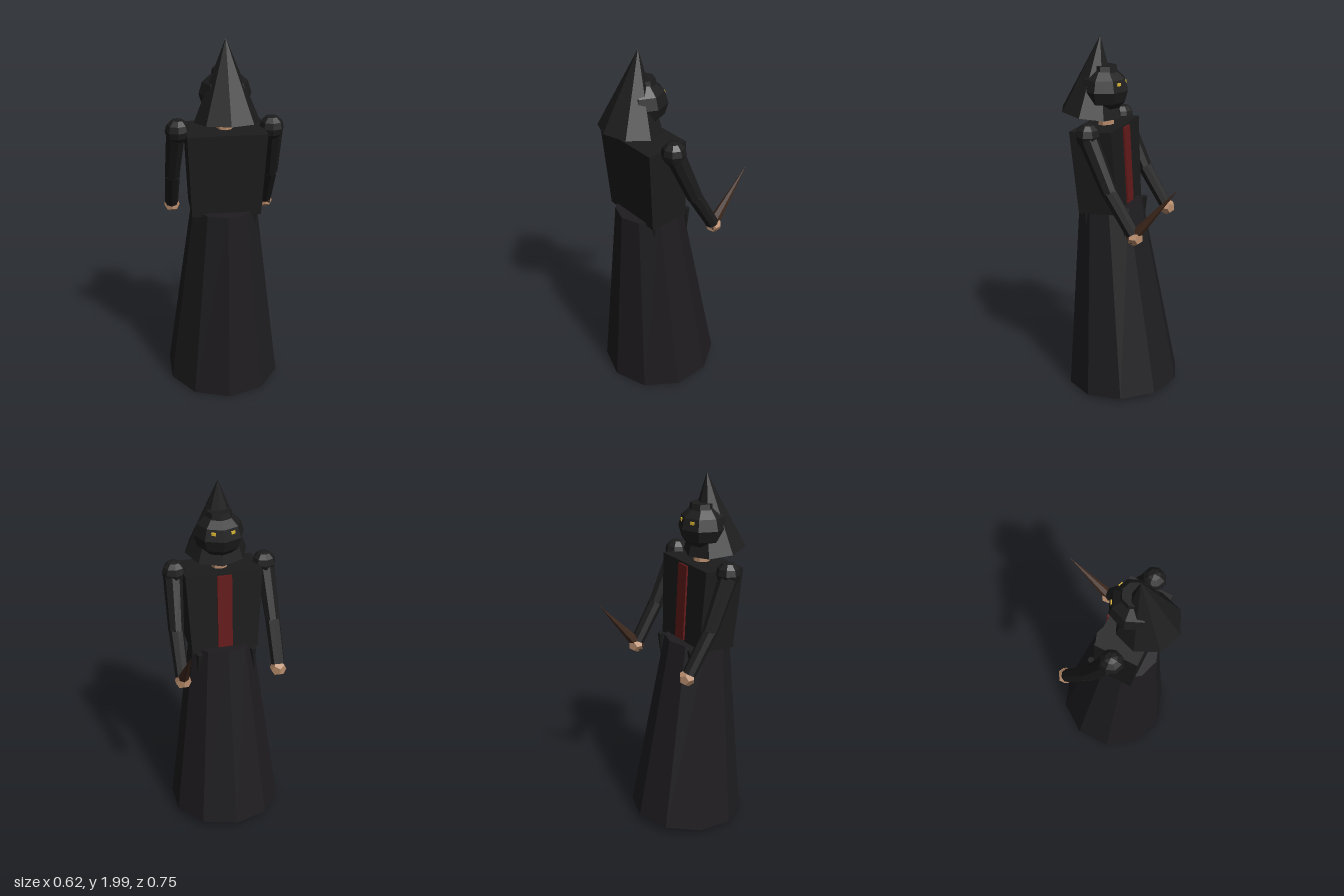
import * as THREE from 'three';

export function createModel() {
  const model = new THREE.Group();
  model.name = 'robedFigure';
  const mat = (color) => new THREE.MeshStandardMaterial({ color, flatShading: true });
  const robe = mat(0x1e1c1f), cloth = mat(0x1c1c1c), skin = mat(0xb88c6c);
  const wood = mat(0x40291d), red = mat(0x641a1a), gold = mat(0xd8b433);

  const add = (name, geometry, material, x = 0, y = 0, z = 0) => {
    const mesh = new THREE.Mesh(geometry, material);
    mesh.name = name;
    mesh.position.set(x, y, z);
    model.add(mesh);
    return mesh;
  };

  // Tapered limb running from point a to point b
  const limb = (name, a, b, ra, rb, sides, material) => {
    const from = new THREE.Vector3(...a), to = new THREE.Vector3(...b);
    const dir = to.clone().sub(from);
    const mesh = add(name, new THREE.CylinderGeometry(rb, ra, dir.length(), sides), material);
    mesh.position.copy(from).add(to).multiplyScalar(0.5);
    mesh.quaternion.setFromUnitVectors(new THREE.Vector3(0, 1, 0), dir.normalize());
    return mesh;
  };

  // Leaning ten-sided skirt
  limb('skirt', [0, 0.03, 0.022], [0, 1.09, 0.095], 0.32, 0.18, 10, robe);

  // Torso: a box narrowed and shifted forward toward the waist
  const torso = new THREE.BoxGeometry(1, 1, 1);
  const p = torso.attributes.position;
  for (let i = 0; i < p.count; i++) {
    const top = p.getY(i) > 0, front = p.getZ(i) < 0;
    const x = Math.sign(p.getX(i)) * (top ? 0.208 : 0.184);
    if (top) p.setXYZ(i, x, front ? 1.535 : 1.52, front ? 0.01 : 0.246);
    else p.setXYZ(i, x, front ? 1.08 : 1.065, front ? -0.015 : 0.208);
  }
  torso.computeVertexNormals();
  add('torso', torso, cloth);

  // Red panel down the chest
  const panel = add('chestPanel', new THREE.BoxGeometry(0.08, 0.42, 0.02), red, 0, 1.315, -0.003);
  panel.rotation.x = 0.055;

  // Neck and masked head
  add('neck', new THREE.CylinderGeometry(0.042, 0.045, 0.12, 8), skin, 0, 1.56, 0.12);
  const head = add('head', new THREE.SphereGeometry(0.136, 8, 6), cloth, 0, 1.715, 0.131);
  head.scale.y = 0.9;
  add('crownRing', new THREE.CylinderGeometry(0.065, 0.075, 0.045, 8), cloth, 0, 1.822, 0.125);

  // Pointed hat tilted over the back of the head
  limb('hat', [0, 1.585, 0.205], [0, 2, 0.15], 0.17, 0, 8, cloth);

  for (const s of [-1, 1]) {
    const eye = add('eye', new THREE.BoxGeometry(0.024, 0.016, 0.014), gold, s * 0.05, 1.755, 0.03);
    eye.rotation.y = s * -0.4;

    // Shoulder, sleeve and hand
    const elbow = [s * 0.268, 1.23, -0.005];
    add('shoulder', new THREE.SphereGeometry(0.066, 8, 6), cloth, s * 0.246, 1.52, 0.122);
    limb('upperArm', [s * 0.255, 1.5, 0.115], elbow, 0.052, 0.042, 8, cloth);
    add('elbow', new THREE.SphereGeometry(0.041, 8, 6), cloth, ...elbow);
    limb('forearm', elbow, [s * 0.267, 1.02, -0.133], 0.041, 0.037, 8, cloth);
    add('hand', new THREE.DodecahedronGeometry(0.045), skin, s * 0.265, 1.002, -0.145);

    // Hanging points of cloth at the waist
    for (const z of [0.175, -0.045]) {
      limb('waistTail', [s * 0.15, 1.09, z], [s * 0.158, 0.95, z], 0.02, 0.001, 5, cloth);
    }
  }

  // Tapered stake held in the left-side hand
  limb('stake', [0.265, 0.985, -0.122], [0.263, 1.29, -0.375], 0.034, 0, 6, wood);

  return model;
}
